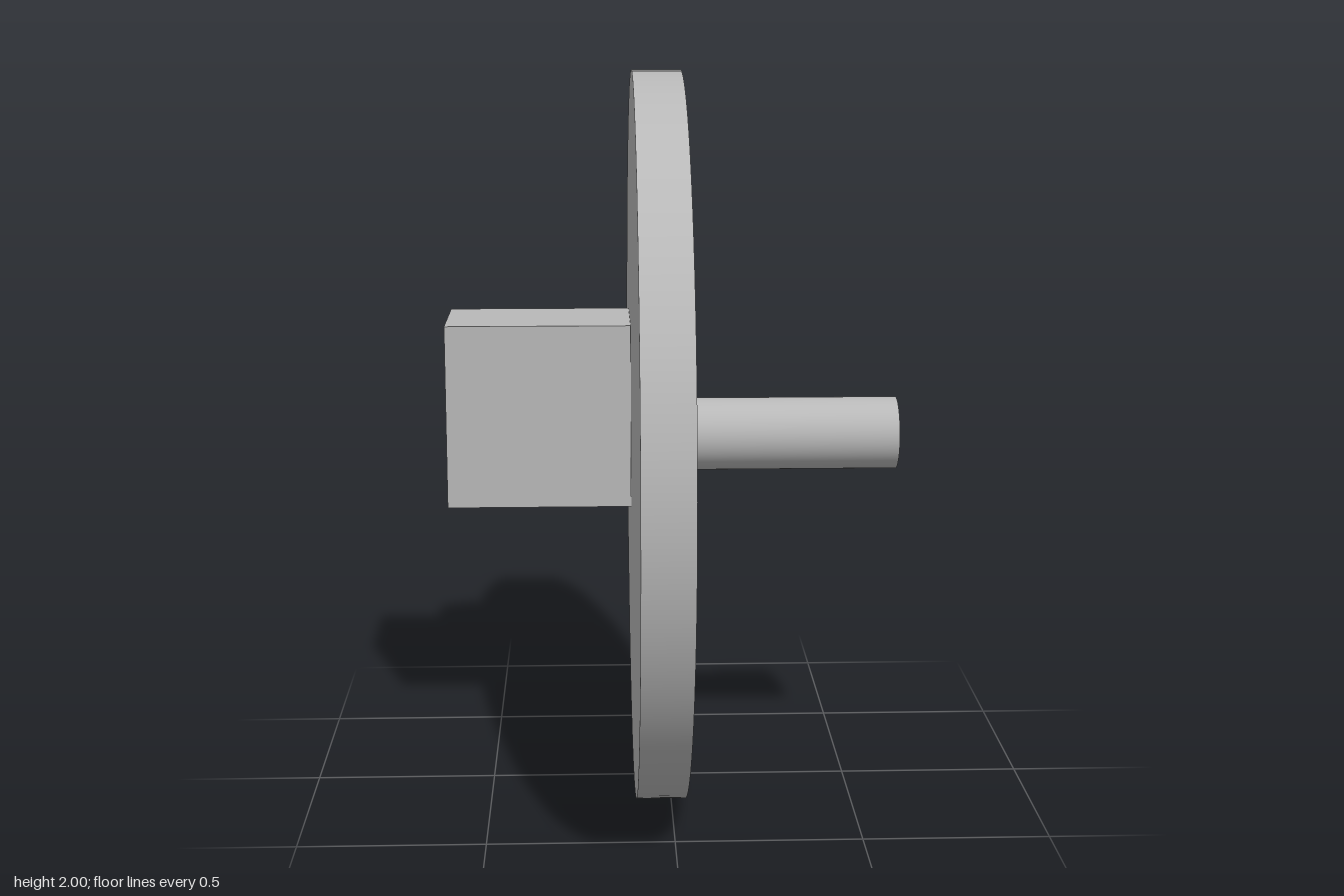
import * as THREE from 'three';

export function createModel() {
  const model = new THREE.Group();
  const grey = new THREE.MeshStandardMaterial({ color: 0xb8b8b8 });
  grey.name = 'plain grey';

  const add = (name, geometry, x, y, z) => {
    const mesh = new THREE.Mesh(geometry, grey);
    mesh.name = name;
    mesh.position.set(x, y, z);
    model.add(mesh);
  };

  // Round bar lying along the x axis
  const barX = (radius, x0, x1, sides) =>
    new THREE.CylinderGeometry(radius, radius, x1 - x0, sides)
      .rotateZ(-Math.PI / 2)
      .translate((x0 + x1) / 2, 0, 0);

  // Wheel disc and its central shaft
  add('disc', barX(1, -0.1, 0.033, 128), 0, 1, 0);
  add('shaft', barX(0.1, 0.033, 0.633, 64), 0, 1, 0);

  // Off-centre block on the other face, with a pin pointing backwards
  add('block', new THREE.BoxGeometry(0.533, 0.533, 0.333), -0.367, 1, -0.403);
  const pin = new THREE.CylinderGeometry(0.133, 0.133, 0.27, 64).rotateX(-Math.PI / 2);
  add('pin', pin, -0.367, 1, -0.705);

  return model;
}
